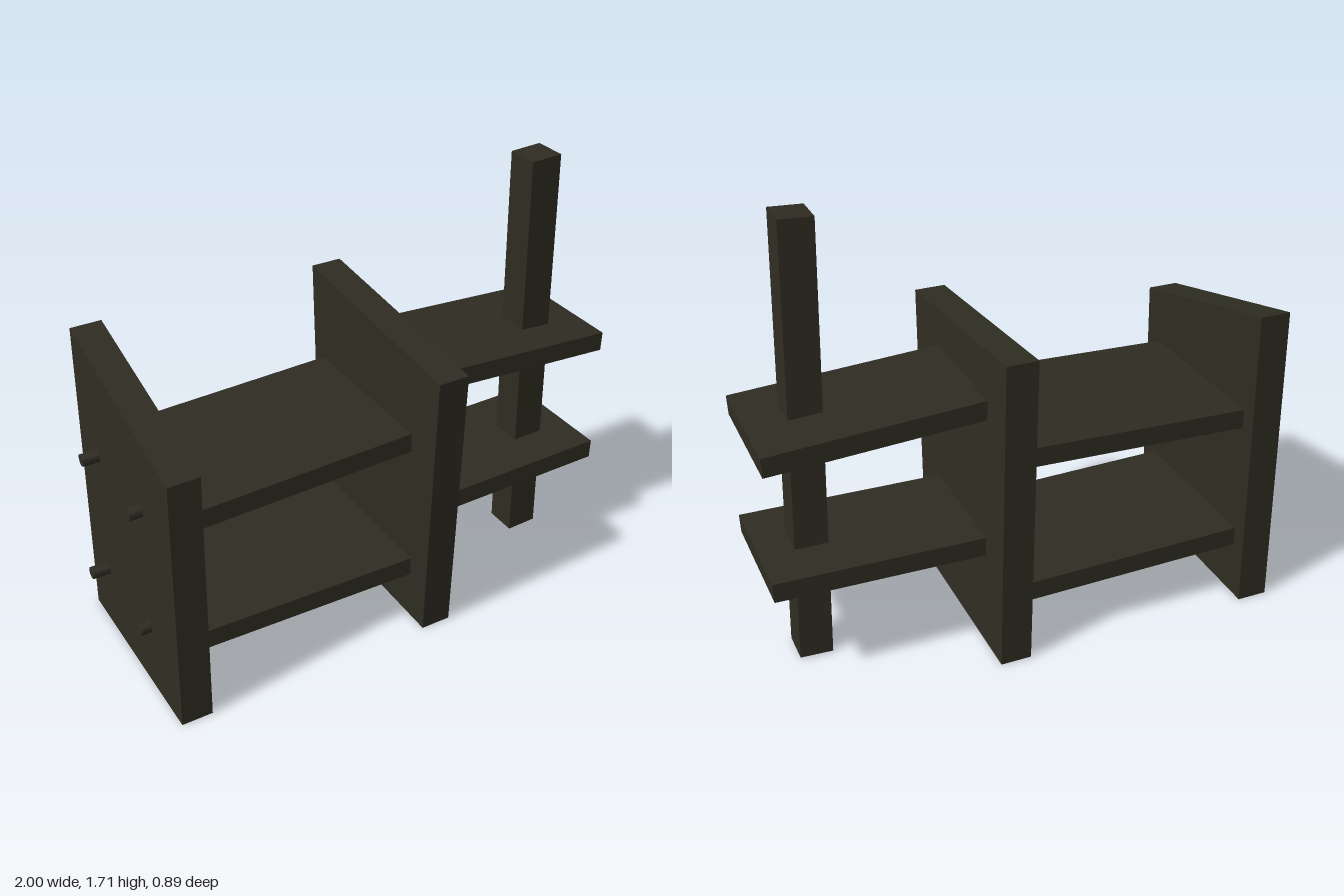
import * as THREE from 'three';

// Unit box whose corners are placed by a rule of (u, v, w), each 0 or 1 along x, y, z
function skewBox(name, material, rule) {
  const geo = new THREE.BoxGeometry(1, 1, 1);
  const p = geo.attributes.position;
  for (let i = 0; i < p.count; i++) {
    p.setXYZ(i, ...rule(p.getX(i) + 0.5, p.getY(i) + 0.5, p.getZ(i) + 0.5));
  }
  geo.computeVertexNormals();
  const mesh = new THREE.Mesh(geo, material);
  mesh.name = name;
  return mesh;
}

const mix = THREE.MathUtils.lerp;

export function createModel() {
  const model = new THREE.Group();
  model.name = 'shelfStand';
  const wood = new THREE.MeshStandardMaterial({ color: 0x2f2d22 });
  wood.name = 'dark wood';

  // Upright panels: slightly leaning, with a top that slopes down to the front
  const panels = [
    { name: 'endPanel', x0: -0.935, x1: -0.915, front0: 0.36, front1: 0.36, yFront: 1.03 },
    { name: 'middlePanel', x0: 0.09, x1: 0.07, front0: 0.36, front1: 0.445, yFront: 1.155 },
  ];
  for (const a of panels) {
    model.add(skewBox(a.name, wood, (u, v, w) => [
      mix(a.x0, a.x1, v) + 0.12 * u,
      v * mix(1.233, a.yFront, w),
      mix(-0.445, mix(a.front0, a.front1, v), w),
    ]));
  }

  // Tilted shelves: underside heights at both ends, run into the panels
  const shelves = [
    ['lowerWideShelf', -0.83, 0.12, 0.225, 0.208, -0.38, 0.27],
    ['upperWideShelf', -0.83, 0.12, 0.75, 0.783, -0.38, 0.27],
    ['lowerNarrowShelf', 0.15, 1, 0.386, 0.403, -0.285, 0.2],
    ['upperNarrowShelf', 0.15, 1, 0.955, 0.907, -0.285, 0.2],
  ];
  for (const [name, xa, xb, ya, yb, back, front] of shelves) {
    model.add(skewBox(name, wood, (u, v, w) => [
      mix(xa, xb, u) + (v - 1) * 0.003,
      mix(ya, yb, u) + 0.076 * v,
      mix(back, front, w),
    ]));
  }

  // Leaning square pole through the narrow shelves
  model.add(skewBox('pole', wood, (u, v, w) => [
    mix(0.76, 0.7, v) + 0.126 * u,
    v * 1.703 + mix(0, 0.006, u),
    mix(-0.118, -0.06, v) + 0.13 * w,
  ]));

  // Pegs sticking out of the end panel
  const pegs = new THREE.Group();
  pegs.name = 'pegs';
  const tips = [
    [-1, 0.276, -0.28], [-0.97, 0.276, 0.11],
    [-0.985, 0.787, -0.28], [-0.97, 0.787, 0.11],
  ];
  for (const [x, y, z] of tips) {
    const peg = new THREE.Mesh(new THREE.CylinderGeometry(0.024, 0.024, 0.12, 8), wood);
    peg.name = 'peg';
    peg.rotation.z = Math.PI / 2;
    peg.position.set(x + 0.06, y, z);
    pegs.add(peg);
  }
  model.add(pegs);

  return model;
}
